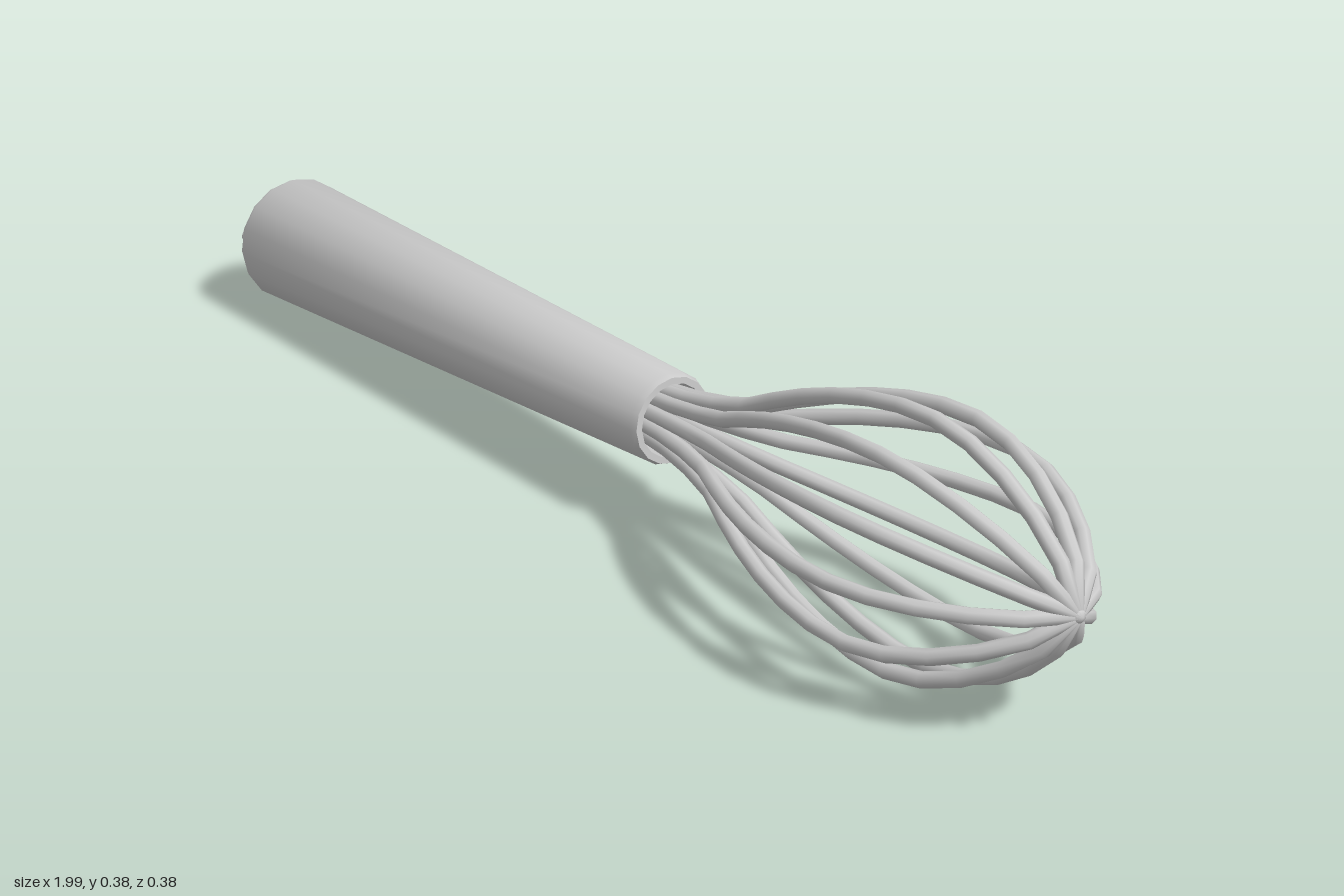
import * as THREE from 'three';
import { toCreasedNormals } from 'three/addons/utils/BufferGeometryUtils.js';

export function createModel() {
  const model = new THREE.Group();
  model.name = 'whisk';
  const steel = new THREE.MeshStandardMaterial({ color: 0xcccccc });

  // The whole whisk is laid along x, then tilted so end and wires rest on the ground
  const whisk = new THREE.Group();
  whisk.name = 'tiltedWhisk';
  whisk.rotation.z = 0.05;
  whisk.position.y = 0.154;
  model.add(whisk);

  const add = (name, geometry, parent = whisk) => {
    const mesh = new THREE.Mesh(geometry, steel);
    mesh.name = name;
    parent.add(mesh);
    return mesh;
  };

  // Tapered handle: stepped end cap at the back, recessed mouth at the front
  const handleProfile = [
    [0, -0.918], [0.086, -0.918], [0.086, -0.9], [0.1, -0.9], [0.104, -0.89],
    [0.07, 0.137], [0.066, 0.147], [0.056, 0.147], [0.054, 0.05], [0, 0.05],
  ].map(([r, x]) => new THREE.Vector2(r, x));
  const handle = new THREE.LatheGeometry(handleProfile, 16).rotateZ(-Math.PI / 2);
  add('handle', toCreasedNormals(handle, 0.6));

  // Hanging loop: half ring behind the end cap, with legs running into it
  const loopPoints = [new THREE.Vector3(-0.89, 0, 0.062)];
  for (let i = 0; i <= 8; i++) {
    const a = (i / 8) * Math.PI;
    loopPoints.push(new THREE.Vector3(-0.924 - 0.062 * Math.sin(a), 0, 0.062 * Math.cos(a)));
  }
  loopPoints.push(new THREE.Vector3(-0.89, 0, -0.062));
  add('hangingLoop', new THREE.TubeGeometry(new THREE.CatmullRomCurve3(loopPoints), 24, 0.012, 8));

  // Balloon wires: one closed-tip outline, turned about the axis
  const half = [
    [0.04, 0.036], [0.15, 0.04], [0.3, 0.069], [0.4, 0.112], [0.5, 0.147], [0.6, 0.17],
    [0.7, 0.178], [0.8, 0.158], [0.9, 0.104], [0.955, 0.054],
  ];
  const outline = [
    ...half,
    [0.984, 0],
    ...half.map(([x, r]) => [x, -r]).reverse(),
  ].map(([x, r]) => new THREE.Vector3(x, r, 0));
  const wire = new THREE.TubeGeometry(new THREE.CatmullRomCurve3(outline), 30, 0.0115, 8);

  const wires = new THREE.Group();
  wires.name = 'wires';
  whisk.add(wires);
  [-2, 30, 61, 90, 123, 153].forEach((degrees, i) => {
    add(`wire${i + 1}`, wire, wires).rotation.x = THREE.MathUtils.degToRad(degrees);
  });

  return model;
}
